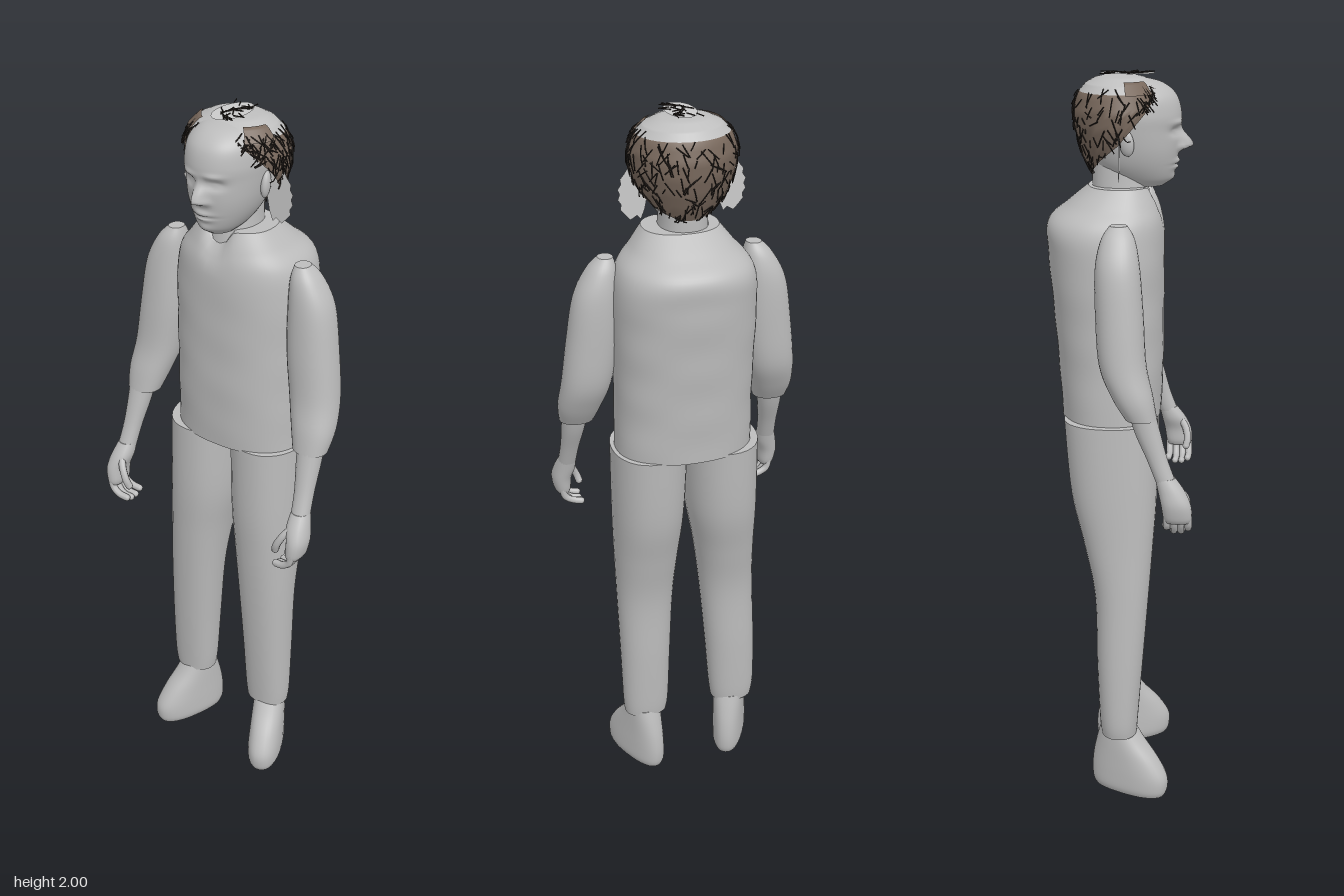
import * as THREE from 'three';
import { mergeGeometries } from 'three/addons/utils/BufferGeometryUtils.js';
import { ParametricGeometry } from 'three/addons/geometries/ParametricGeometry.js';

const mat = (name, color, side = THREE.FrontSide) => {
  const m = new THREE.MeshStandardMaterial({ color, side });
  m.name = name;
  return m;
};

function catmull(a, b, c, d, t) {
  const v0 = (c - a) / 2, v1 = (d - b) / 2;
  return (2 * b - 2 * c + v0 + v1) * t ** 3 + (-3 * b + 3 * c - 2 * v0 - v1) * t * t + v0 * t + b;
}

// Smooth body through sections [y, x0, x1, z0, z1], listed from top to bottom
function loft(sections, { seg = 32, steps = 5, power = 2.2, side = 1, dx = 0, rule = null } = {}) {
  const rows = [], n = sections.length;
  for (let k = 0; k <= (n - 1) * steps; k++) {
    const i = Math.min(Math.floor(k / steps), n - 2), t = k / steps - i;
    const s = [i - 1, i, i + 1, i + 2].map(q => sections[Math.max(0, Math.min(n - 1, q))]);
    rows.push(s[0].map((_, c) => catmull(s[0][c], s[1][c], s[2][c], s[3][c], t)));
  }
  const pos = [], idx = [];
  const ring = ([y, x0, x1, z0, z1]) => {
    for (let j = 0; j < seg; j++) {
      const a = j / seg * Math.PI * 2, c = Math.cos(a), s = Math.sin(a);
      const f = v => Math.sign(v) * Math.abs(v) ** (2 / power);
      const p = new THREE.Vector3(dx + side * (x0 + x1) / 2 + f(c) * Math.abs(x1 - x0) / 2, y,
        (z0 + z1) / 2 + f(s) * Math.abs(z1 - z0) / 2);
      if (rule) rule(p);
      pos.push(p.x, p.y, p.z);
    }
  };
  rows.forEach(ring);
  for (let i = 0; i < rows.length - 1; i++) for (let j = 0; j < seg; j++) {
    const a = i * seg + j, b = i * seg + (j + 1) % seg;
    idx.push(a, b, a + seg, b, b + seg, a + seg);
  }
  // End caps with their own corners so the rims stay sharp
  for (const top of [true, false]) {
    const r = top ? rows[0] : rows[rows.length - 1], o = pos.length / 3;
    ring(r);
    pos.push(dx + side * (r[1] + r[2]) / 2, r[0], (r[3] + r[4]) / 2);
    for (let j = 0; j < seg; j++) {
      const a = o + j, b = o + (j + 1) % seg;
      idx.push(o + seg, top ? b : a, top ? a : b);
    }
  }
  const g = new THREE.BufferGeometry();
  g.setAttribute('position', new THREE.Float32BufferAttribute(pos, 3));
  g.setIndex(idx);
  g.computeVertexNormals();
  return g;
}

const bump = (p, x, y, sx, sy) => Math.exp(-(((p.x - x) / sx) ** 2) - ((p.y - y) / sy) ** 2);

export function createModel() {
  const model = new THREE.Group();
  const grey = mat('plain grey', 0xbcbcbc);
  const card = mat('pale hair card', 0xcacaca, THREE.DoubleSide);
  const crownGrey = mat('crown grey', 0xbebebe, THREE.DoubleSide);
  const brown = mat('brown hair', 0x78685c, THREE.DoubleSide);
  const dark = mat('dark strands', 0x2c2622);
  const add = (name, geo, m = grey, parent = model) => {
    const mesh = new THREE.Mesh(geo, m);
    mesh.name = name;
    parent.add(mesh);
    return mesh;
  };

  // Shirt with slight creases and a dipped collar
  add('shirt', loft([
    [1.715, -0.1, 0.1, -0.085, 0.08], [1.67, -0.135, 0.135, -0.14, 0.1], [1.62, -0.175, 0.175, -0.192, 0.113],
    [1.54, -0.188, 0.188, -0.192, 0.116], [1.4, -0.187, 0.187, -0.18, 0.116], [1.25, -0.185, 0.185, -0.168, 0.116],
    [1.1, -0.187, 0.187, -0.158, 0.11],
  ], { seg: 56, steps: 8, power: 2.3, dx: 0.007, rule: p => {
    const k = 1 + 0.006 * Math.sin(p.y * 45 + 4 * p.x) * Math.sin(p.x * 18 + p.z * 9);
    p.x *= k; p.z *= k;
    if (p.z > 0 && p.y > 1.6) p.y -= 0.04 * Math.exp(-((p.x / 0.035) ** 4)) * (p.y - 1.6) / 0.115;
  } }));

  // Trousers, the stance leaning slightly to the right
  const legs = {
    rightLeg: [[1.105, -0.2, 0.003, -0.148, 0.103], [0.9, -0.205, -0.008, -0.13, 0.103], [0.75, -0.207, -0.035, -0.095, 0.094],
      [0.6, -0.212, -0.055, -0.066, 0.083], [0.4, -0.22, -0.073, -0.06, 0.068], [0.24, -0.222, -0.085, -0.053, 0.056],
      [0.185, -0.216, -0.092, -0.048, 0.052]],
    leftLeg: [[1.105, 0, 0.205, -0.148, 0.103], [0.9, 0.006, 0.203, -0.13, 0.103], [0.75, 0.018, 0.198, -0.095, 0.094],
      [0.6, 0.03, 0.192, -0.066, 0.083], [0.4, 0.04, 0.186, -0.06, 0.068], [0.24, 0.046, 0.182, -0.053, 0.056],
      [0.185, 0.052, 0.178, -0.048, 0.052]],
  };
  for (const name in legs) add(name, loft(legs[name], { steps: 6 }));

  // Shoes, toes turned out
  for (const [name, x, turn] of [['rightShoe', -0.147, -0.4], ['leftShoe', 0.122, 0.4]]) {
    const shoe = add(name, loft([
      [0.2, -0.05, 0.05, -0.05, 0.045], [0.16, -0.051, 0.051, -0.062, 0.075], [0.11, -0.052, 0.052, -0.074, 0.118],
      [0.06, -0.053, 0.053, -0.08, 0.148], [0.02, -0.052, 0.052, -0.078, 0.15], [0, -0.045, 0.045, -0.07, 0.142],
    ], { power: 2.3, rule: p => { p.x *= 0.9 + 0.8 * Math.max(0, p.z); } }));
    shoe.position.x = x;
    shoe.rotation.y = turn;
  }

  // Arms and hands
  for (const [label, side] of [['right', -1], ['left', 1]]) {
    const arm = new THREE.Group();
    arm.name = label + 'Arm';
    arm.position.x = 0.005;
    model.add(arm);
    add('sleeve', loft([
      [1.645, 0.178, 0.218, -0.02, 0.025], [1.61, 0.17, 0.25, -0.042, 0.045], [1.54, 0.167, 0.285, -0.056, 0.058],
      [1.42, 0.17, 0.305, -0.055, 0.068], [1.3, 0.187, 0.32, -0.045, 0.076], [1.22, 0.21, 0.328, -0.012, 0.094],
      [1.165, 0.228, 0.322, 0.022, 0.104],
    ], { side }), grey, arm);
    add('forearm', loft([
      [1.2, 0.24, 0.315, 0.025, 0.095], [1.13, 0.25, 0.314, 0.047, 0.113], [1.06, 0.262, 0.314, 0.078, 0.132],
      [1.0, 0.268, 0.318, 0.102, 0.154],
    ], { side, seg: 20 }), grey, arm);
    add('palm', loft([
      [1.01, 0.268, 0.317, 0.1, 0.152], [0.975, 0.268, 0.327, 0.108, 0.178], [0.94, 0.278, 0.333, 0.116, 0.194],
      [0.905, 0.28, 0.328, 0.122, 0.198], [0.89, 0.285, 0.32, 0.128, 0.194],
    ], { side, seg: 20 }), grey, arm);
    const finger = (name, points, r) => {
      const v = points.map(([x, y, z]) => new THREE.Vector3(side * x, y, z));
      add(name, new THREE.TubeGeometry(new THREE.CatmullRomCurve3(v), 10, r, 8), grey, arm);
      const tip = add(name + 'Tip', new THREE.SphereGeometry(r, 8, 6), grey, arm);
      tip.position.copy(v[v.length - 1]);
    };
    [0.132, 0.151, 0.17, 0.188].forEach((z, i) => {
      const up = [0.01, 0, 0, 0.008][i];
      finger('finger', [[0.308, 0.91, z], [0.3, 0.88, z], [0.28, 0.857 + up, z], [0.256, 0.852 + up, z - 0.003]], 0.0098);
    });
    finger('thumb', [[0.29, 0.975, 0.16], [0.272, 0.95, 0.178], [0.257, 0.92, 0.184], [0.25, 0.9, 0.18]], 0.0105);
  }

  // Neck
  add('neck', loft([
    [1.8, -0.06, 0.06, -0.075, 0.06], [1.74, -0.062, 0.062, -0.075, 0.068], [1.69, -0.066, 0.066, -0.075, 0.076],
    [1.63, -0.07, 0.07, -0.08, 0.086],
  ], { seg: 24 }));

  // Head with the face raised from the front
  add('head', loft([
    [1.988, -0.03, 0.03, -0.03, 0.05], [1.975, -0.065, 0.065, -0.06, 0.105], [1.945, -0.092, 0.092, -0.095, 0.142],
    [1.9, -0.1, 0.1, -0.11, 0.156], [1.86, -0.098, 0.098, -0.108, 0.153], [1.81, -0.09, 0.09, -0.09, 0.15],
    [1.77, -0.077, 0.077, -0.07, 0.143], [1.735, -0.056, 0.056, -0.03, 0.132], [1.715, -0.035, 0.035, 0.02, 0.11],
  ], { seg: 72, steps: 9, power: 2.1, rule: p => {
    if (p.z < 0.06) return;
    p.z += 0.036 * bump(p, 0, 1.818, 0.015, p.y > 1.818 ? 0.032 : 0.011)
      + 0.008 * bump(p, 0, 1.778, 0.026, 0.007) + 0.008 * bump(p, 0, 1.763, 0.022, 0.006)
      + 0.006 * bump(p, 0, 1.735, 0.02, 0.012) - 0.005 * bump(p, 0, 1.77, 0.03, 0.002);
    for (const s of [-1, 1]) {
      p.z += 0.009 * bump(p, s * 0.016, 1.812, 0.009, 0.008) + 0.006 * bump(p, s * 0.036, 1.879, 0.022, 0.007)
        - 0.014 * bump(p, s * 0.036, 1.857, 0.02, 0.011) + 0.007 * bump(p, s * 0.036, 1.856, 0.012, 0.006);
    }
  } }));
  for (const s of [-1, 1]) {
    const ear = add('ear', new THREE.SphereGeometry(1, 16, 12));
    ear.scale.set(0.012, 0.034, 0.02);
    ear.position.set(s * 0.099, 1.835, 0.018);
    ear.rotation.set(-0.15, s * 0.3, 0);
  }

  // Hair shell: radius by height, open over the face
  const hair = new THREE.Group();
  hair.name = 'hair';
  model.add(hair);
  const profile = [[1.74, 0.08], [1.78, 0.104], [1.82, 0.122], [1.87, 0.136], [1.91, 0.138], [1.95, 0.125], [1.975, 0.1], [1.99, 0.068], [1.995, 0]];
  const radius = y => {
    let i = 0;
    while (i < profile.length - 2 && y > profile[i + 1][0]) i++;
    const [a, b] = [profile[i], profile[i + 1]];
    return THREE.MathUtils.lerp(a[1], b[1], THREE.MathUtils.clamp((y - a[0]) / (b[0] - a[0]), 0, 1));
  };
  const low = a => {
    const c = Math.cos(a);
    return Math.min(1.953, c > 0 ? 1.83 + 0.14 * c : 1.83 + 0.085 * c);
  };
  const onShell = (a, y, lift = 0) => {
    const r = radius(y) + lift;
    return new THREE.Vector3(Math.sin(a) * r, y + lift, Math.cos(a) * r * 0.87 - 0.003);
  };
  const patch = (name, m, a0, a1, top, bottom, lift = 0) => add(name, new ParametricGeometry((u, v, p) => {
    const a = a0 + (a1 - a0) * u;
    p.copy(onShell(a, top + (bottom(a) - top) * v, lift));
  }, 40, 10), m, hair);
  patch('hairBand', brown, -Math.PI, Math.PI, 1.955, low);
  patch('crown', crownGrey, -Math.PI, Math.PI, 1.995, () => 1.955);
  for (const s of [-1, 1]) patch('temple', brown, s * 0.7, s * 1.4, 1.98, () => 1.95, 0.003);

  // Pale parting piece on the crown
  const parting = add('parting', new THREE.CircleGeometry(1, 32), card, hair);
  parting.rotation.x = -Math.PI / 2;
  parting.scale.set(0.04, 0.07, 1);
  parting.position.set(0, 1.998, 0.018);

  // Loose strands scattered over the hair
  let seed = 7;
  const rand = () => (seed = (seed * 16807) % 2147483647) / 2147483647;
  const strands = [];
  const strand = f => strands.push(new THREE.TubeGeometry(new THREE.CatmullRomCurve3([0, 0.5, 1].map(f)), 3, 0.0017, 3));
  for (let i = 0; i < 300; i++) {
    const a = (rand() * 2 - 1) * Math.PI, y = THREE.MathUtils.lerp(low(a), 1.972, rand());
    const da = (rand() - 0.5) * 0.5, dy = -0.015 - rand() * 0.035;
    strand(t => onShell(a + da * t, Math.max(y + dy * t, low(a) - 0.01), 0.002 + 0.004 * t));
  }
  for (let i = 0; i < 26; i++) {
    const x = (rand() - 0.5) * 0.06, z = -0.04 + rand() * 0.12, b = rand() * 6.3;
    strand(t => new THREE.Vector3(x + 0.03 * t * Math.sin(b), 1.999, z + 0.03 * t * Math.cos(b)));
  }
  add('strands', mergeGeometries(strands), dark, hair);

  // Ragged side locks hanging beside the face
  for (const s of [-1, 1]) {
    const pts = [[0.085, 1.87], [0.14, 1.87]];
    for (let i = 0; i <= 8; i++) pts.push([0.15 + 0.012 * Math.sin(i / 8 * Math.PI) + (i % 2) * 0.006, 1.855 - i * 0.013]);
    pts.push([0.135, 1.735], [0.118, 1.745], [0.108, 1.735], [0.098, 1.76], [0.09, 1.8]);
    const shape = new THREE.Shape(pts.map(([x, y]) => new THREE.Vector2(s * x, y)));
    add('sideLock', new THREE.ShapeGeometry(shape), card, hair);
  }
  return model;
}
